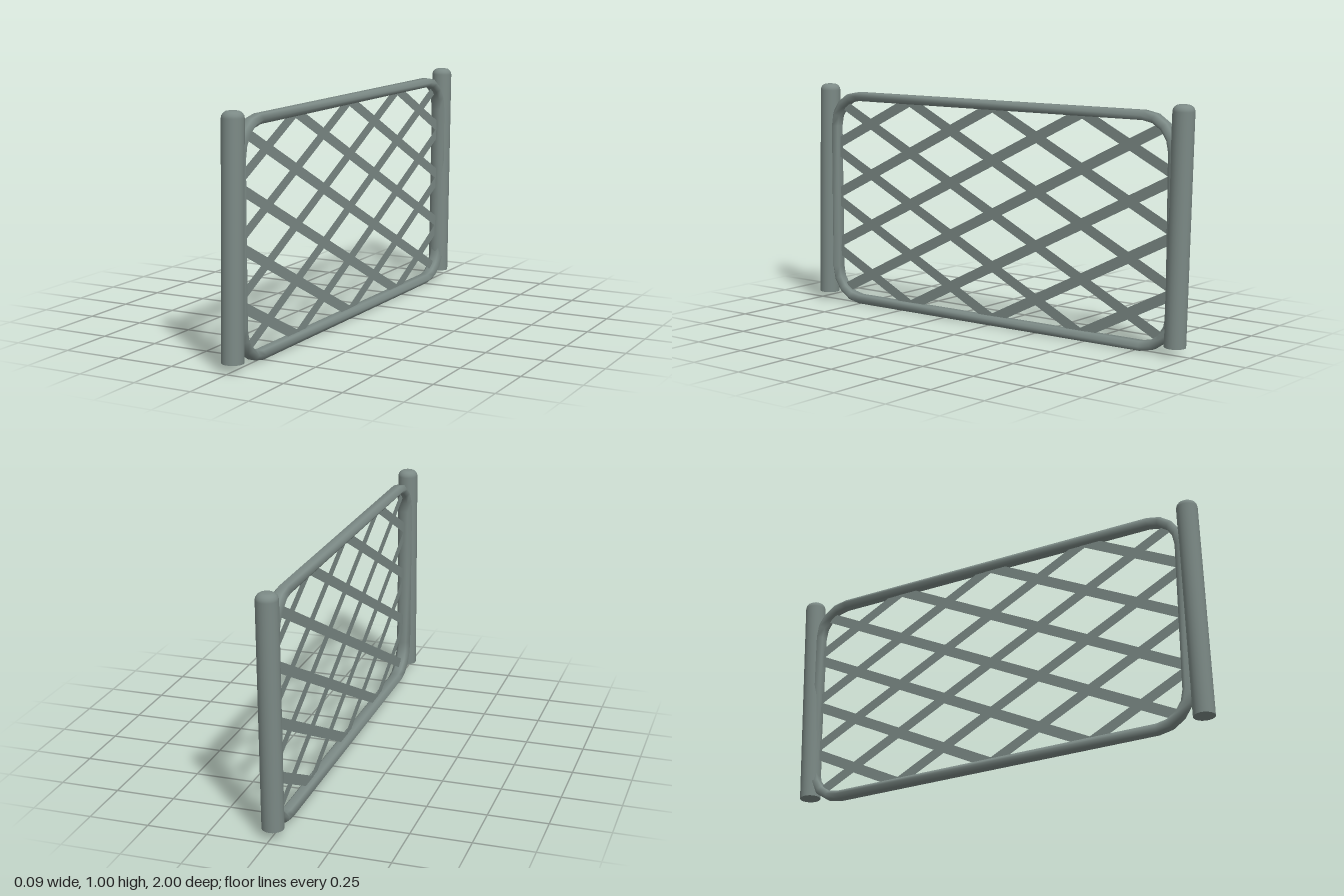
import * as THREE from 'three';
import { mergeGeometries } from 'three/addons/utils/BufferGeometryUtils.js';

const MID_Z = -0.01, MID_Y = 0.487;      // middle of the frame
const HALF_Z = 0.903, HALF_Y = 0.467;    // frame centreline half sizes
const CORNER = 0.14;

// Rounded rectangle in (z, y): points with outward normals, counter-clockwise
function framePath() {
  const path = [], steps = 4;
  [[1, 1], [-1, 1], [-1, -1], [1, -1]].forEach(([sz, sy], quarter) => {
    for (let i = 0; i <= steps; i++) {
      const a = (quarter + i / steps) * Math.PI / 2;
      const nz = Math.cos(a), ny = Math.sin(a);
      path.push({
        z: MID_Z + sz * (HALF_Z - CORNER) + CORNER * nz,
        y: MID_Y + sy * (HALF_Y - CORNER) + CORNER * ny,
        nz, ny,
      });
    }
  });
  return path;
}

// Closed tube with a flattened six-sided section swept along the path
function frameGeometry(path) {
  const sides = 6, positions = [], index = [];
  path.forEach((p, i) => {
    for (let j = 0; j < sides; j++) {
      const a = (j + 0.5) / sides * Math.PI * 2 - Math.PI / 6 + Math.PI / 6;
      const out = 0.0225 * Math.cos(a), side = 0.033 * Math.sin(a);
      positions.push(side, p.y + p.ny * out, p.z + p.nz * out);
      const ni = (i + 1) % path.length, nj = (j + 1) % sides;
      const A = i * sides + j, B = ni * sides + j, C = ni * sides + nj, D = i * sides + nj;
      index.push(A, C, B, A, D, C);
    }
  });
  const g = new THREE.BufferGeometry();
  g.setAttribute('position', new THREE.Float32BufferAttribute(positions, 3));
  g.setIndex(index);
  g.computeVertexNormals();
  return g;
}

// Cut a polygon of [z, y] points to the inside of the convex path
function clip(poly, path) {
  path.forEach((p) => {
    const dist = ([z, y]) => (z - p.z) * p.nz + (y - p.y) * p.ny;
    const next = [];
    poly.forEach((a, i) => {
      const b = poly[(i + 1) % poly.length], da = dist(a), db = dist(b);
      if (da <= 0) next.push(a);
      if ((da <= 0) !== (db <= 0)) {
        const t = da / (da - db);
        next.push([a[0] + (b[0] - a[0]) * t, a[1] + (b[1] - a[1]) * t]);
      }
    });
    poly = next;
  });
  return poly;
}

// One set of parallel flat slats, sloping up or down
function slatGeometry(dir, path) {
  const slope = 0.497 * dir, half = 0.025, parts = [];
  for (let k = -6; k <= 6; k++) {
    const y = (z) => MID_Y + k * 0.23 + slope * (z - MID_Z);
    const strip = [[-1, y(-1) - half], [1, y(1) - half], [1, y(1) + half], [-1, y(-1) + half]];
    const poly = clip(strip, path);
    if (poly.length < 3) continue;
    const shape = new THREE.Shape(poly.map(([z, yy]) => new THREE.Vector2(-z, yy)));
    parts.push(new THREE.ShapeGeometry(shape).rotateY(Math.PI / 2));
  }
  return mergeGeometries(parts);
}

// Round post with a softened top and a flat foot
function postGeometry() {
  const r = 0.045, bevel = 0.028, height = 0.97;
  const profile = [[0, 0], [r, 0], [r, 0], [r, height - bevel]];
  for (let i = 1; i <= 4; i++) {
    const a = i / 4 * Math.PI / 2;
    profile.push([r - bevel + bevel * Math.cos(a), height - bevel + bevel * Math.sin(a)]);
  }
  profile.push([0, height]);
  return new THREE.LatheGeometry(profile.map(([x, y]) => new THREE.Vector2(x, y)), 20);
}

export function createModel() {
  const metal = new THREE.MeshStandardMaterial({ color: 0x7c8a86 });
  metal.name = 'greyMetal';
  metal.side = THREE.DoubleSide;

  const model = new THREE.Group();
  model.name = 'latticeFencePanel';
  const add = (name, geometry) => {
    const mesh = new THREE.Mesh(geometry, metal);
    mesh.name = name;
    model.add(mesh);
    return mesh;
  };

  const path = framePath();
  add('frame', frameGeometry(path));
  add('risingSlats', slatGeometry(1, path)).position.x = 0.001;
  add('fallingSlats', slatGeometry(-1, path)).position.x = -0.001;

  // Both posts lean slightly the same way
  [['frontPost', 0.953], ['backPost', -0.93]].forEach(([name, z]) => {
    const post = add(name, postGeometry());
    post.position.set(0, 0.035, z);
    post.rotation.x = -0.024;
  });
  return model;
}
